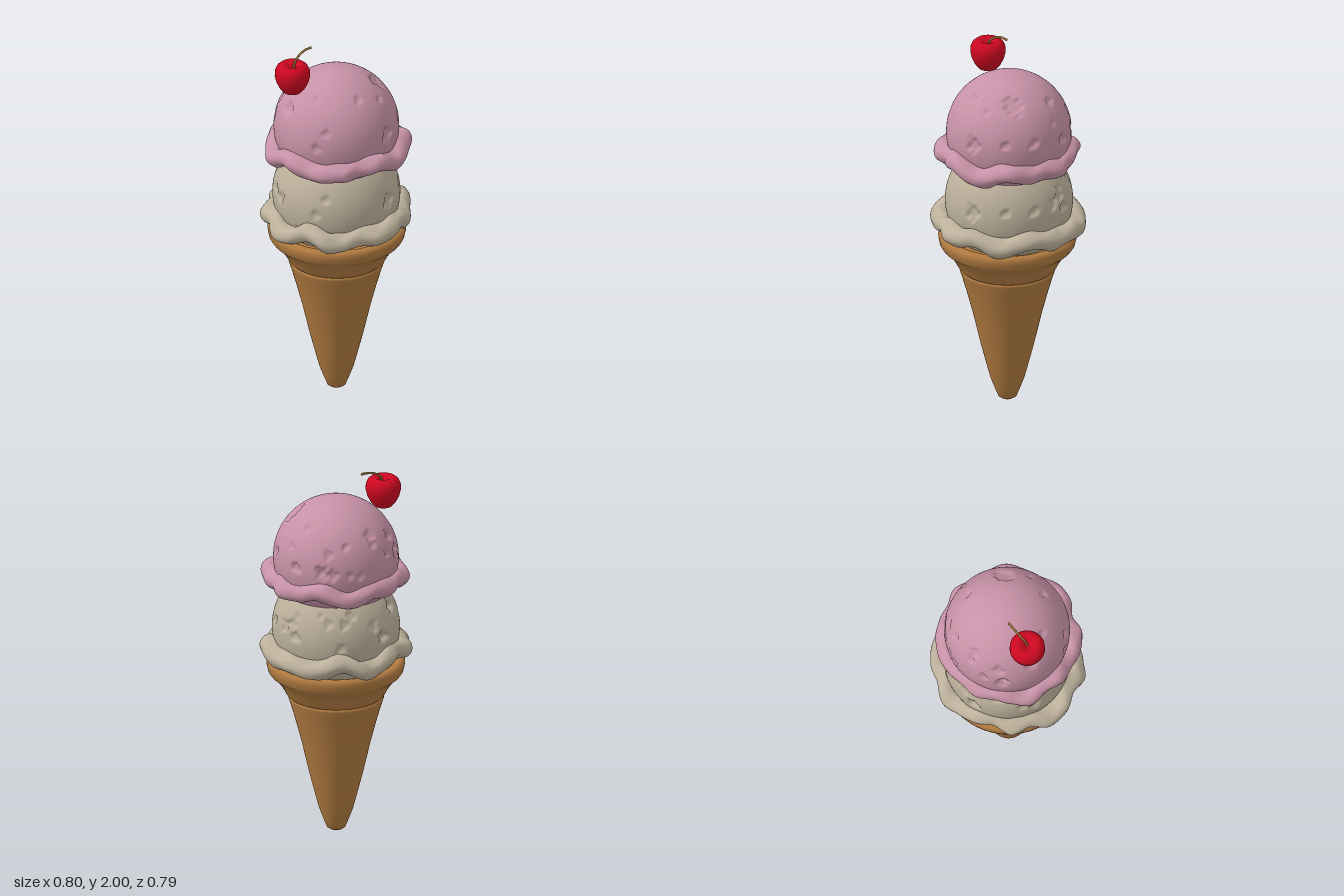
import * as THREE from 'three';
import { mergeVertices } from 'three/addons/utils/BufferGeometryUtils.js';

const mat = (name, color, side = THREE.FrontSide) => {
  const m = new THREE.MeshStandardMaterial({ color, side });
  m.name = name;
  return m;
};

// Weld the seams so the moved surface shades smoothly
function smooth(geo) {
  geo.deleteAttribute('uv');
  geo.deleteAttribute('normal');
  const g = mergeVertices(geo, 1e-5);
  g.computeVertexNormals();
  return g;
}

function seeded(seed) {
  let s = seed;
  return () => (s = (s * 16807) % 2147483647) / 2147483647;
}

const lathe = (pts, segments = 64) =>
  new THREE.LatheGeometry(pts.map(([r, y]) => new THREE.Vector2(r, y)), segments);

// Pits in the ice cream: direction x, y, z and width
const PITS = [
  [0.21, 0.24, 0.05, 0.065], [0.17, 0.22, -0.16, 0.03], [0.08, 0.12, -0.29, 0.03],
  [-0.26, 0.15, -0.13, 0.04], [-0.16, 0.24, 0.14, 0.025], [0.05, 0.24, 0.21, 0.028],
  [0.17, 0.21, 0.18, 0.022], [-0.15, 0.1, 0.27, 0.028], [0.19, 0.04, 0.26, 0.05],
  [-0.2, 0.02, 0.25, 0.03], [0.3, 0.06, 0.12, 0.03], [0.32, 0.06, -0.03, 0.035],
  [0.24, 0.03, -0.21, 0.04],
];

function scoopGeometry(radius, seed) {
  const rnd = seeded(seed);
  const pits = PITS.map(([x, y, z, w]) => ({ d: new THREE.Vector3(x, y, z).normalize(), w }));
  // further pits over the sides and back
  for (let i = 0; i < 14; i++) {
    const a = Math.PI * (0.95 + 0.9 * rnd()), y = -0.1 + 0.7 * rnd(), r = Math.sqrt(1 - y * y);
    pits.push({ d: new THREE.Vector3(r * Math.cos(a), y, r * Math.sin(a)), w: 0.02 + 0.022 * rnd() });
  }
  const geo = new THREE.IcosahedronGeometry(1, 40);
  const pos = geo.attributes.position, v = new THREE.Vector3();
  for (let i = 0; i < pos.count; i++) {
    v.fromBufferAttribute(pos, i).normalize();
    let r = radius;
    for (const { d, w } of pits) {
      const warp = 1 + 0.3 * Math.sin(38 * v.x + 9 * d.y) * Math.sin(33 * v.y + 7 * d.x + 21 * v.z);
      const dist = v.distanceTo(d) * radius * warp;
      r -= 0.35 * Math.min(w, 0.045) * (1 - THREE.MathUtils.smoothstep(dist, w * 0.4, w));
    }
    v.multiplyScalar(r);
    pos.setXYZ(i, v.x, v.y, v.z);
  }
  return smooth(geo);
}

// Lobed roll at the foot of a scoop; reach = outer radius every 15 degrees from +x towards +z
function skirtGeometry(reach, phase) {
  const TUBE = 24, AROUND = 180, n = reach.length;
  const outer = (a) => {
    const f = (((a / (2 * Math.PI)) % 1) + 1) % 1 * n, i = Math.floor(f), t = f - i;
    const k = t * t * (3 - 2 * t);
    return reach[i % n] * (1 - k) + reach[(i + 1) % n] * k;
  };
  const geo = new THREE.TorusGeometry(1, 0.1, TUBE, AROUND);
  const pos = geo.attributes.position, uv = geo.attributes.uv;
  for (let i = 0; i < pos.count; i++) {
    const a = 2 * Math.PI * uv.getX(i), t = 2 * Math.PI * uv.getY(i);
    const lump = 1 + 0.1 * Math.sin(7 * a + 2 * t + phase) + 0.06 * Math.sin(13 * a - 3 * t);
    const out = outer(-a), w = 0.065;
    const rad = out - w + w * Math.cos(t) * (Math.cos(t) > 0 ? 1 : lump);
    const rise = 0.014 * Math.sin(5 * a + phase) + 0.011 * Math.sin(8 * a + 2 * phase);
    // lobes that reach out also droop slightly
    const y = rise - 0.25 * (out - 0.38) + 0.052 * Math.sin(t) * lump;
    pos.setXYZ(i, rad * Math.cos(a), y, -rad * Math.sin(a));
  }
  return smooth(geo);
}

export function createModel() {
  const root = new THREE.Group();
  root.name = 'iceCreamCone';
  const wafer = mat('wafer brown', 0xb07a40, THREE.DoubleSide);
  const cream = mat('vanilla cream', 0xbcb09b);
  const pink = mat('berry pink', 0xc691a6);
  const red = mat('cherry red', 0xcc0820);
  const stalk = mat('stalk tan', 0x96713a);

  const add = (parent, name, geo, material, x = 0, y = 0, z = 0) => {
    const m = new THREE.Mesh(geo, material);
    m.name = name;
    m.position.set(x, y, z);
    parent.add(m);
    return m;
  };

  // Wafer cone: tapered body, then flared collar with a rounded lip
  const cone = new THREE.Group();
  cone.name = 'cone';
  root.add(cone);
  add(cone, 'coneBody', lathe([
    [0, 0.004], [0.03, 0.004], [0.048, 0.016], [0.066, 0.06], [0.09, 0.125], [0.112, 0.21],
    [0.14, 0.32], [0.181, 0.5], [0.215, 0.63], [0.238, 0.71], [0.249, 0.745], [0.249, 0.757], [0.235, 0.762],
  ]), wafer, -0.005);
  add(cone, 'coneCollar', lathe([
    [0.225, 0.758], [0.25, 0.763], [0.259, 0.772], [0.276, 0.805], [0.298, 0.84], [0.322, 0.868],
    [0.343, 0.885], [0.353, 0.9], [0.359, 0.925], [0.361, 0.945], [0.354, 0.96], [0.338, 0.967],
    [0.315, 0.962], [0.29, 0.94], [0, 0.93],
  ]), wafer, -0.003);

  // Two scoops, each with its roll
  const scoops = [
    {
      name: 'lower', material: cream, radius: 0.333, y: 1.145, skirtY: 1.035, phase: 0.8, seed: 71,
      reach: [0.397, 0.38, 0.385, 0.38, 0.4, 0.402, 0.375, 0.39, 0.41, 0.385, 0.41, 0.412,
        0.38, 0.405, 0.365, 0.385, 0.385, 0.41, 0.39, 0.405, 0.41, 0.405, 0.39, 0.4],
    },
    {
      name: 'upper', material: pink, radius: 0.327, y: 1.533, skirtY: 1.425, phase: 2.3, seed: 37,
      reach: [0.375, 0.39, 0.378, 0.375, 0.385, 0.38, 0.35, 0.385, 0.385, 0.372, 0.387, 0.37,
        0.392, 0.375, 0.365, 0.378, 0.365, 0.372, 0.38, 0.38, 0.368, 0.36, 0.385, 0.36],
    },
  ];
  for (const s of scoops) {
    add(root, s.name + 'Scoop', scoopGeometry(s.radius, s.seed), s.material, -0.003, s.y, -0.008);
    add(root, s.name + 'ScoopRoll', skirtGeometry(s.reach, s.phase), s.material, 0, s.skirtY, 0);
  }

  // Cherry with a dimpled top and a curved stalk
  const cherry = new THREE.Group();
  cherry.name = 'cherry';
  cherry.position.set(-0.256, 1.78, 0.022);
  root.add(cherry);
  add(cherry, 'cherryFruit', lathe([
    [0, 0.004], [0.025, 0], [0.047, 0.01], [0.068, 0.035], [0.084, 0.068], [0.092, 0.1],
    [0.091, 0.13], [0.081, 0.153], [0.064, 0.167], [0.045, 0.168], [0.026, 0.158], [0.01, 0.142], [0, 0.138],
  ], 40), red);
  const path = new THREE.CatmullRomCurve3([
    [0.003, 0.135, 0.003], [0.015, 0.17, -0.006], [0.045, 0.198, -0.026], [0.085, 0.212, -0.046], [0.12, 0.213, -0.06],
  ].map((p) => new THREE.Vector3(...p)));
  add(cherry, 'cherryStalk', new THREE.TubeGeometry(path, 24, 0.006, 10), stalk);
  const tip = add(cherry, 'stalkTip', new THREE.SphereGeometry(0.0075, 12, 8), stalk);
  tip.position.copy(path.getPoint(1));

  return root;
}
